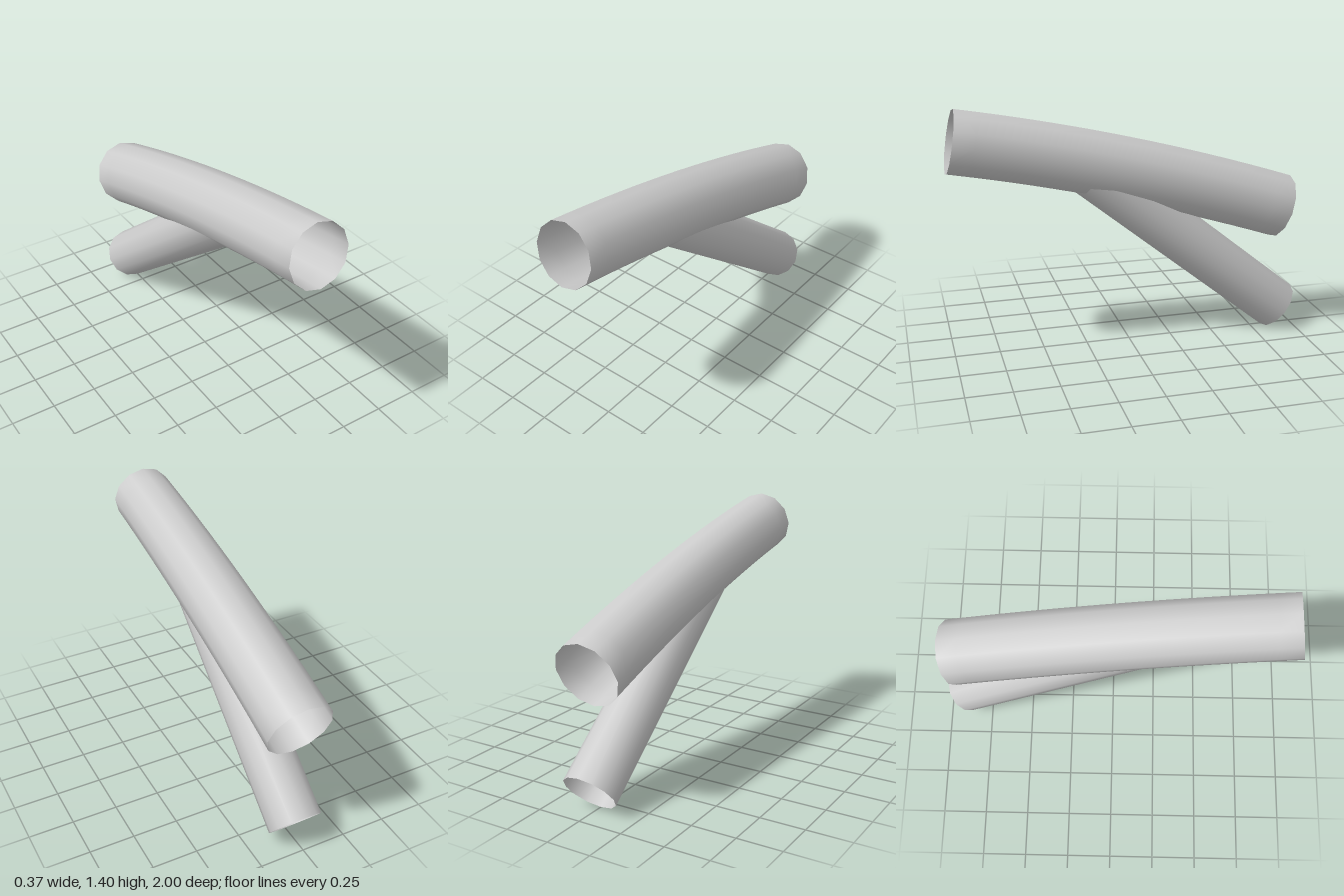
import * as THREE from 'three';

const SIDES = 12;

// Open 12-sided tube swept along a curve in the x = 0 plane, running front to back
function sweptTube(curve, steps, r0, r1) {
  const pos = [], index = [];
  for (let i = 0; i <= steps; i++) {
    const u = i / steps;
    const p = curve.getPoint(u), t = curve.getTangent(u);
    const r = r0 + (r1 - r0) * u;
    for (let j = 0; j < SIDES; j++) {
      const a = (j / SIDES) * Math.PI * 2;
      const up = r * Math.cos(a);
      pos.push(r * Math.sin(a), p.y - t.z * up, p.z + t.y * up);
    }
  }
  for (let i = 0; i < steps; i++) {
    for (let j = 0; j < SIDES; j++) {
      const k = (j + 1) % SIDES;
      const a = i * SIDES + j, b = i * SIDES + k;
      index.push(a, b, a + SIDES, b, b + SIDES, a + SIDES);
    }
  }
  const geo = new THREE.BufferGeometry();
  geo.setAttribute('position', new THREE.Float32BufferAttribute(pos, 3));
  geo.setIndex(index);
  geo.computeVertexNormals();
  return geo;
}

export function createModel() {
  const group = new THREE.Group();
  group.name = 'branchingPipe';

  const grey = new THREE.MeshStandardMaterial({ color: 0xcccccc, side: THREE.DoubleSide });
  grey.name = 'light grey';

  const add = (name, geo) => {
    const mesh = new THREE.Mesh(geo, grey);
    mesh.name = name;
    group.add(mesh);
    return mesh;
  };

  // Gently bent main pipe, slightly wider at the back
  const mainPath = new THREE.QuadraticBezierCurve3(
    new THREE.Vector3(0, 1.228, 0.97),
    new THREE.Vector3(0, 1.065, 0.045),
    new THREE.Vector3(0, 0.74, -0.906)
  );
  add('mainPipe', sweptTube(mainPath, 16, 0.175, 0.186));

  // Straight branch pipe, its upper end inside the main pipe
  const top = new THREE.Vector3(0, 1.095, 0.30);
  const bottom = new THREE.Vector3(0, 0.12, -0.908);
  add('branchPipe', sweptTube(new THREE.LineCurve3(top, bottom), 1, 0.148, 0.148));

  // Disc closing the branch's upper end
  const cap = add('branchCap', new THREE.CircleGeometry(0.148, SIDES));
  cap.position.copy(top);
  cap.lookAt(top.clone().multiplyScalar(2).sub(bottom));

  return group;
}
